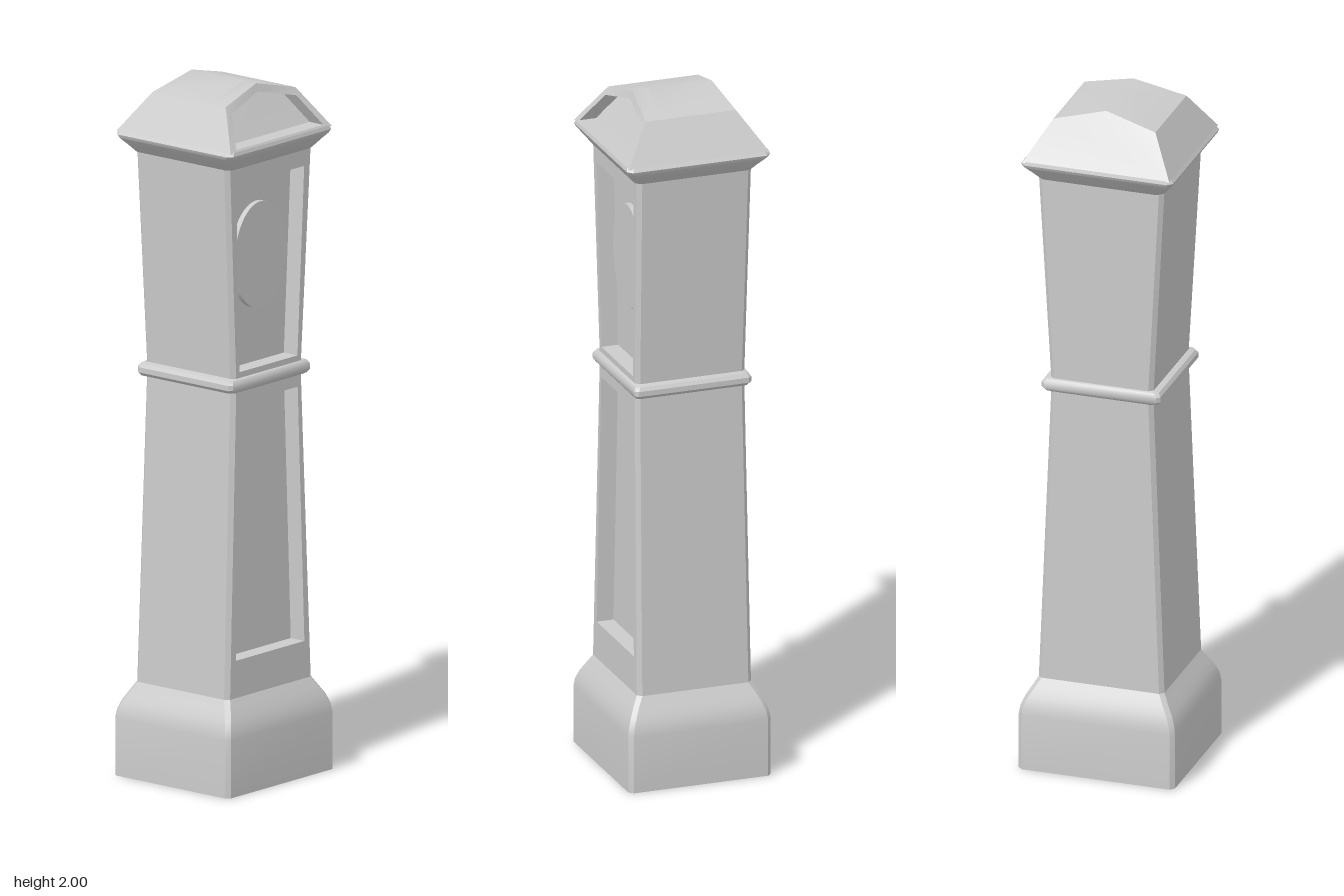
import * as THREE from 'three';
import { toCreasedNormals } from 'three/addons/utils/BufferGeometryUtils.js';

const material = new THREE.MeshStandardMaterial({ color: 0xcccccc, side: THREE.DoubleSide });
const RECESS = 0.05;

function addMesh(group, name, geometry) {
  const mesh = new THREE.Mesh(toCreasedNormals(geometry, 0.6), material);
  mesh.name = name;
  group.add(mesh);
}

// Stacked rectangles with chamfered corners; rows are [y, half width, half depth].
function loft(rows, chamfer, openFront = false) {
  const pos = [], index = [];
  for (const [y, w, d] of rows) {
    const a = w - chamfer, b = d - chamfer;
    for (const [x, z] of [[a, d], [w, b], [w, -b], [a, -d], [-a, -d], [-w, -b], [-w, b], [-a, d]]) pos.push(x, y, z);
  }
  for (let r = 0; r < rows.length - 1; r++) {
    for (let i = 0; i < (openFront ? 7 : 8); i++) {
      const a = r * 8 + i, b = r * 8 + (i + 1) % 8;
      index.push(a, b, b + 8, a, b + 8, a + 8);
    }
  }
  const geometry = new THREE.BufferGeometry();
  geometry.setAttribute('position', new THREE.Float32BufferAttribute(pos, 3));
  geometry.setIndex(index);
  return geometry;
}

const polygon = (points) => new THREE.Shape(points.map(([x, y]) => new THREE.Vector2(x, y)));
const trapezoid = (y0, w0, y1, w1) => polygon([[-w0, y0], [w0, y0], [w1, y1], [-w1, y1]]);

// Moves every vertex in z by a rule of its height and depth.
function shiftZ(geometry, rule) {
  const p = geometry.attributes.position;
  for (let i = 0; i < p.count; i++) p.setZ(i, rule(p.getY(i), p.getZ(i)));
  return geometry;
}

const slab = (shape) => new THREE.ExtrudeGeometry(shape, { depth: 1, bevelEnabled: false });

// Tapered case section with a recessed front panel.
function addCase(group, name, lower, upper, hole) {
  const c = 0.012;
  const front = (y) => THREE.MathUtils.mapLinear(y, lower[0], upper[0], lower[2], upper[2]);
  addMesh(group, name + 'Case', loft([lower, upper], c, true));
  const frame = trapezoid(lower[0], lower[1] - c, upper[0], upper[1] - c);
  const opening = trapezoid(...hole);
  frame.holes.push(opening);
  addMesh(group, name + 'Frame', shiftZ(slab(frame), (y, z) => front(y) - RECESS * (1 - z)));
  addMesh(group, name + 'Panel', shiftZ(new THREE.ShapeGeometry(opening), (y) => front(y) - RECESS));
}

export function createModel() {
  const model = new THREE.Group();
  model.name = 'longcaseClock';

  // Plinth with a curved shoulder, open underneath
  addMesh(model, 'plinth', loft([
    [0, 0.23, 0.212], [0.165, 0.23, 0.212], [0.19, 0.226, 0.208],
    [0.215, 0.216, 0.199], [0.24, 0.201, 0.186], [0.268, 0.185, 0.17],
  ], 0.012));

  // Trunk narrows upwards, hood widens upwards
  addCase(model, 'trunk', [0.268, 0.185, 0.17], [1.165, 0.15, 0.163], [0.375, 0.147, 1.11, 0.125]);
  addCase(model, 'hood', [1.165, 0.15, 0.163], [1.8, 0.185, 0.17], [1.2, 0.124, 1.742, 0.146]);

  // Rounded moulding at the waist
  addMesh(model, 'waistMoulding', loft([
    [1.142, 0.152, 0.162], [1.146, 0.168, 0.168], [1.155, 0.175, 0.174],
    [1.17, 0.175, 0.174], [1.18, 0.168, 0.168], [1.184, 0.152, 0.162],
  ], 0.01));

  // Oval dial standing slightly proud of the hood panel
  const dial = new THREE.CylinderGeometry(1, 1, 0.018, 48);
  dial.rotateX(Math.PI / 2);
  dial.scale(0.11, 0.153, 1);
  dial.translate(0, 1.51, 0.167 - RECESS + 0.008);
  addMesh(model, 'dial', dial);

  // Flared cornice
  addMesh(model, 'cornice', loft([
    [1.785, 0.172, 0.165], [1.792, 0.185, 0.175], [1.815, 0.204, 0.193],
    [1.833, 0.22, 0.208], [1.843, 0.224, 0.213], [1.853, 0.217, 0.21],
  ], 0.014));

  // Peaked roof with sloping ends; its front carries a recessed pediment
  const eaves = 1.85;
  const end = (y) => Math.max(0.21 - (y - eaves) * 0.68, 0.118);
  const outline = [[-0.217, eaves], [0.217, eaves], [0.15, 1.962], [0, 2], [-0.15, 1.962]];
  addMesh(model, 'roof', shiftZ(slab(polygon(outline)),
    (y, z) => (z > 0.5 ? end(y) - RECESS : -end(y))));
  const pediment = polygon(outline);
  pediment.holes.push(polygon([[-0.187, 1.858], [0.187, 1.858], [0.138, 1.943], [0, 1.977], [-0.138, 1.943]]));
  addMesh(model, 'pedimentFrame', shiftZ(slab(pediment), (y, z) => end(y) - RECESS * (1 - z)));

  return model;
}
